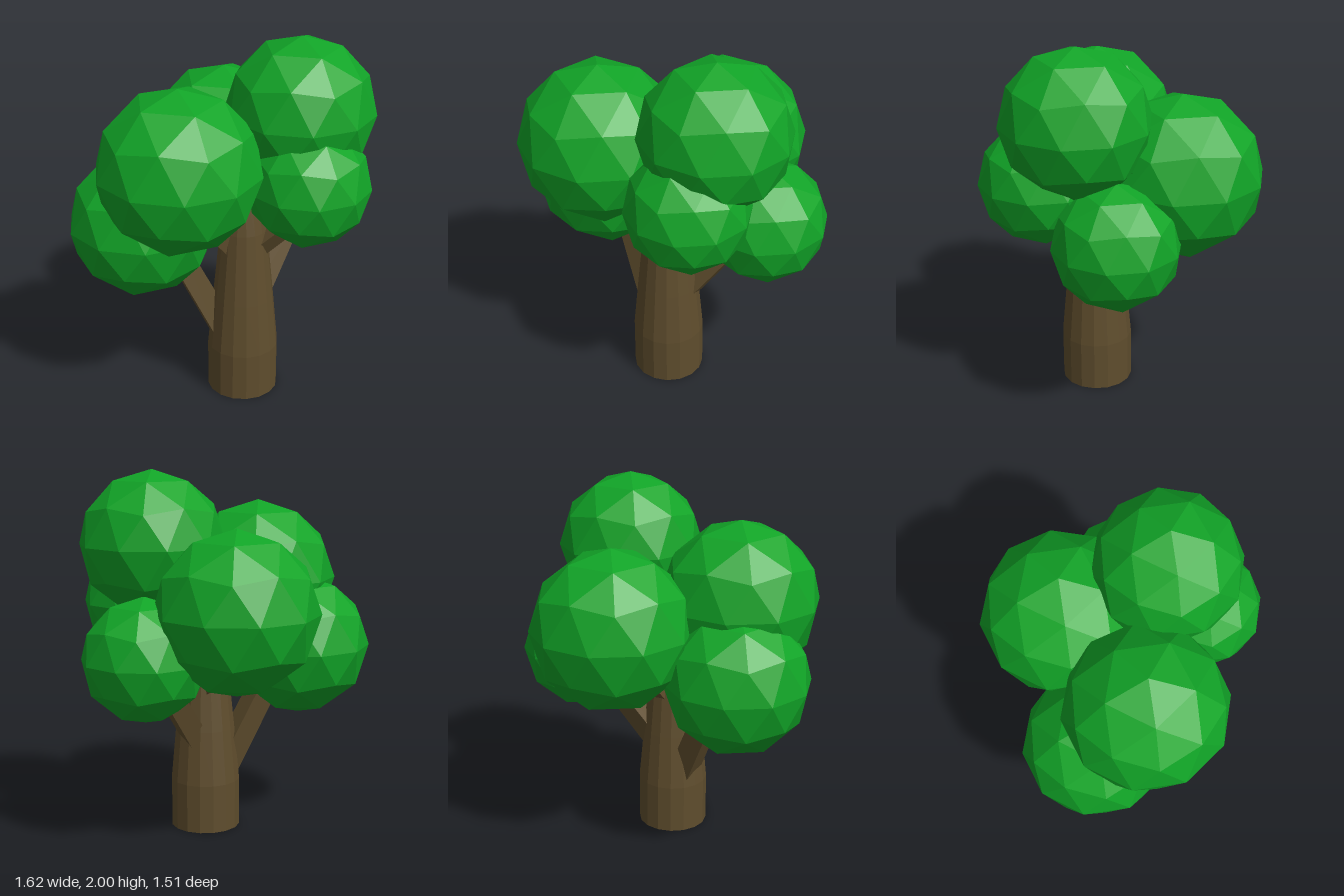
import * as THREE from 'three';

export function createModel() {
  const tree = new THREE.Group();
  tree.name = 'tree';

  const leafGreen = new THREE.MeshStandardMaterial({ color: 0x11a427, flatShading: true });
  leafGreen.name = 'leaf green';
  const barkBrown = new THREE.MeshStandardMaterial({ color: 0x5f4d2d, flatShading: true });
  barkBrown.name = 'bark brown';

  const add = (name, geometry, material) => {
    const mesh = new THREE.Mesh(geometry, material);
    mesh.name = name;
    tree.add(mesh);
    return mesh;
  };

  // Trunk: straight foot, then a taper up into the crown
  const profile = [[0, 0], [0.193, 0], [0.193, 0.27], [0.165, 0.57], [0.125, 0.97], [0.085, 1.2], [0, 1.2]]
    .map(([r, y]) => new THREE.Vector2(r, y));
  add('trunk', new THREE.LatheGeometry(profile, 16), barkBrown).position.set(0.095, 0, 0.157);

  // Branches: four-sided tapered limbs from the trunk into the leaf clumps
  const branch = (name, from, to, r0, r1) => {
    const a = new THREE.Vector3(...from);
    const b = new THREE.Vector3(...to);
    const dir = b.clone().sub(a);
    const geometry = new THREE.CylinderGeometry(r1, r0, dir.length(), 4);
    geometry.rotateY(Math.PI / 4 + 0.25);
    const mesh = add(name, geometry, barkBrown);
    mesh.position.copy(a).add(b).multiplyScalar(0.5);
    mesh.quaternion.setFromUnitVectors(new THREE.Vector3(0, 1, 0), dir.normalize());
  };
  branch('lowRightBranch', [0.0, 0.32, 0.15], [-0.36, 1.03, 0.12], 0.09, 0.08);
  branch('lowLeftBranch', [0.13, 0.46, 0.12], [0.46, 1.02, -0.16], 0.085, 0.07);
  branch('frontLeftBranch', [0.1, 0.8, 0.17], [0.39, 1.09, 0.27], 0.06, 0.055);
  branch('frontRightBranch', [0.06, 0.83, 0.18], [-0.18, 1.13, 0.28], 0.06, 0.055);
  branch('backBranch', [0.09, 0.75, 0.12], [0.05, 1.1, -0.18], 0.07, 0.06);

  // Leaf clumps: faceted balls with one corner pointing straight up
  const ball = new THREE.IcosahedronGeometry(1, 1);
  ball.rotateZ(-Math.atan(2 / (1 + Math.sqrt(5))));
  const clumps = [
    ['topClump', 0.39, 1.605, 0.105, 0.395],
    ['frontRightClump', -0.255, 1.383, 0.318, 0.433],
    ['backClump', 0.037, 1.283, -0.32, 0.435],
    ['frontLeftClump', 0.41, 1.27, 0.305, 0.325],
    ['lowLeftClump', 0.49, 1.033, -0.167, 0.334],
    ['lowRightClump', -0.44, 1.02, 0.13, 0.394],
  ];
  for (const [name, x, y, z, r] of clumps) {
    const clump = add(name, ball, leafGreen);
    clump.position.set(x, y, z);
    clump.scale.setScalar(r);
  }

  return tree;
}
